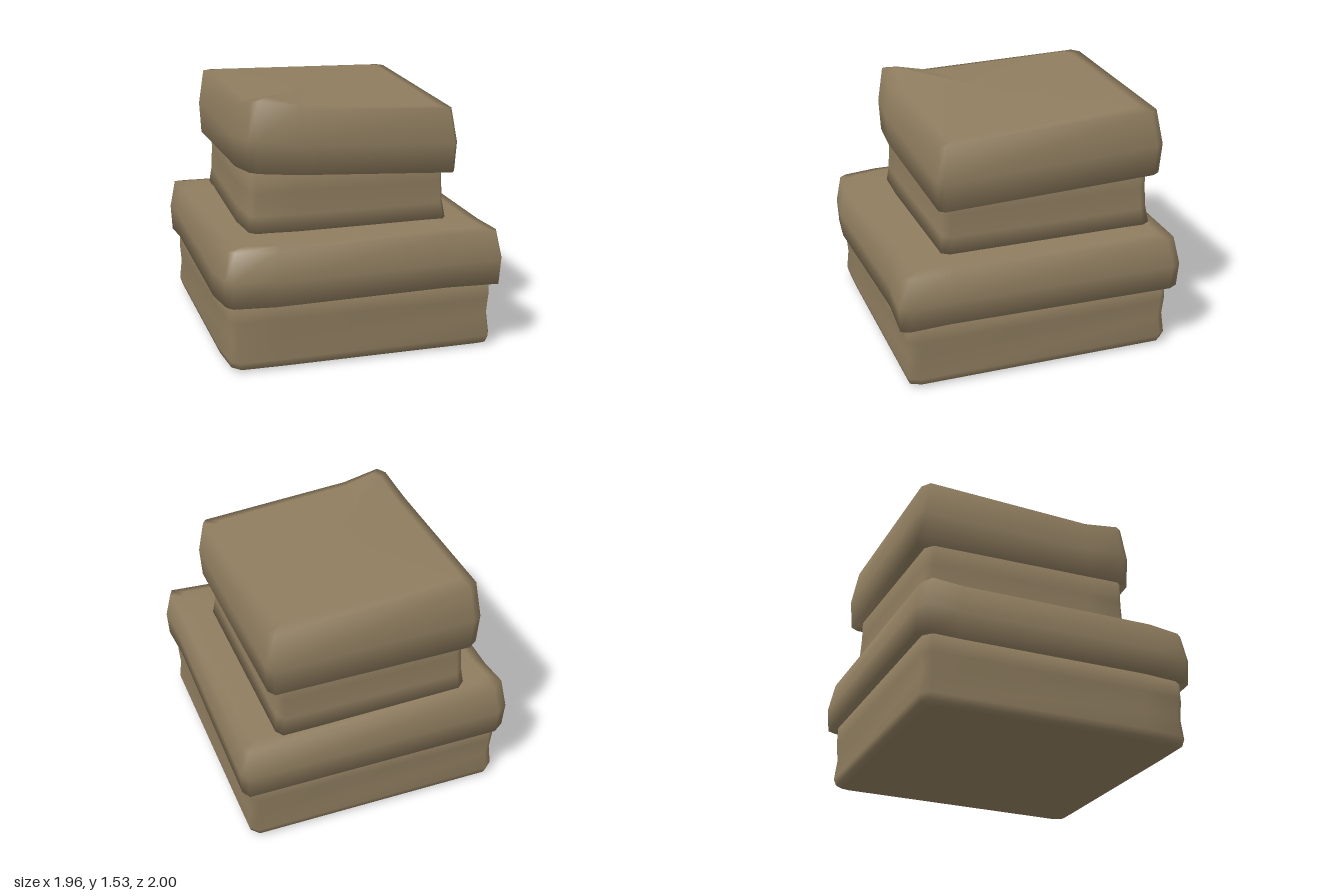
import * as THREE from 'three';

// Lofts a closed, softly shaded solid. outline: [x, z, topY, bottomY] points going
// clockwise seen from above; rings: [scale, height from 0 (bottomY) to 1 (topY)].
function loft(outline, rings, capY) {
  const n = outline.length, pos = [], index = [];
  const cx = outline.reduce((s, p) => s + p[0], 0) / n * 0.5;
  const cz = outline.reduce((s, p) => s + p[1], 0) / n * 0.5;
  for (const [s, t] of rings) {
    for (const [x, z, top, bottom] of outline) {
      pos.push(cx + (x - cx) * s, bottom + (top - bottom) * t, cz + (z - cz) * s);
    }
  }
  const low = pos.length / 3;
  pos.push(cx, capY[0], cz, cx, capY[1], cz);
  const last = (rings.length - 1) * n;
  for (let i = 0; i < n; i++) {
    const j = (i + 1) % n;
    for (let r = 0; r < rings.length - 1; r++) {
      const a = r * n + i, b = r * n + j;
      index.push(a, a + n, b, b, a + n, b + n);
    }
    index.push(i, j, low, last + j, last + i, low + 1);
  }
  const g = new THREE.BufferGeometry();
  g.setAttribute('position', new THREE.Float32BufferAttribute(pos, 3));
  g.setIndex(index);
  g.computeVertexNormals();
  return g;
}

// Gives every outline point the same top and bottom height
const flat = (points, top, bottom) => points.map(([x, z]) => [x, z, top, bottom]);

export function createModel() {
  const group = new THREE.Group();
  const cardboard = new THREE.MeshStandardMaterial({ color: 0x8f7d5f });
  cardboard.name = 'cardboard';

  const add = (name, geometry) => {
    const mesh = new THREE.Mesh(geometry, cardboard);
    mesh.name = name;
    group.add(mesh);
  };

  // Large box: rounded bottom edge and slightly dented walls
  add('lowerBox', loft(flat([
    [-0.93, -0.62], [-0.89, -0.67], [0.6, -0.94], [0.65, -0.9],
    [0.93, 0.6], [0.91, 0.67], [-0.35, 0.91], [-0.59, 0.95], [-0.64, 0.91], [-0.7, 0.68],
  ], 0.46, 0),
  [[0.94, 0], [0.985, 0.04], [1, 0.13], [0.985, 0.4], [0.995, 0.65], [0.99, 1]], [0, 0.46]));

  // Large lid, flared at the corners and folded under at its rim
  add('lowerLid', loft([
    [-0.98, -0.65, 0.75, 0.4], [-0.92, -0.71, 0.74, 0.4], [0.65, -1, 0.73, 0.4], [0.69, -0.95, 0.73, 0.4],
    [0.92, 0.42, 0.73, 0.4], [0.98, 0.66, 0.73, 0.4], [0.965, 0.715, 0.73, 0.4], [0.65, 0.75, 0.73, 0.4],
    [-0.38, 0.98, 0.73, 0.4], [-0.62, 0.995, 0.735, 0.4], [-0.66, 0.96, 0.735, 0.4],
    [-0.73, 0.75, 0.74, 0.4], [-0.93, -0.46, 0.745, 0.4],
  ], [[0.8, 0.08], [0.99, 0], [1, 0.45], [0.965, 0.96], [0.88, 1]], [0.43, 0.745]));

  // Small box
  add('upperBox', loft(flat([
    [-0.7, -0.58], [-0.66, -0.63], [0.41, -0.84], [0.45, -0.8],
    [0.67, 0.38], [0.65, 0.43], [-0.22, 0.61], [-0.46, 0.65], [-0.5, 0.62], [-0.56, 0.4],
  ], 1.2, 0.73),
  [[1.025, 0], [1, 0.22], [0.99, 0.5], [0.99, 1]], [0.73, 1.2]));

  // Small lid with uneven corners and a gently sagging top
  add('upperLid', loft([
    [-0.77, -0.64, 1.5, 1.07], [-0.72, -0.69, 1.5, 1.07], [0.47, -0.91, 1.48, 1.07], [0.51, -0.87, 1.48, 1.07],
    [0.745, 0.42, 1.42, 1.02], [0.725, 0.46, 1.42, 1.02], [-0.23, 0.67, 1.47, 1.08],
    [-0.46, 0.7, 1.53, 1.1], [-0.51, 0.66, 1.52, 1.1], [-0.58, 0.42, 1.47, 1.08],
  ], [[0.8, 0.08], [0.985, 0], [1, 0.45], [0.955, 0.96], [0.85, 0.99]], [1.1, 1.47]));

  return group;
}
